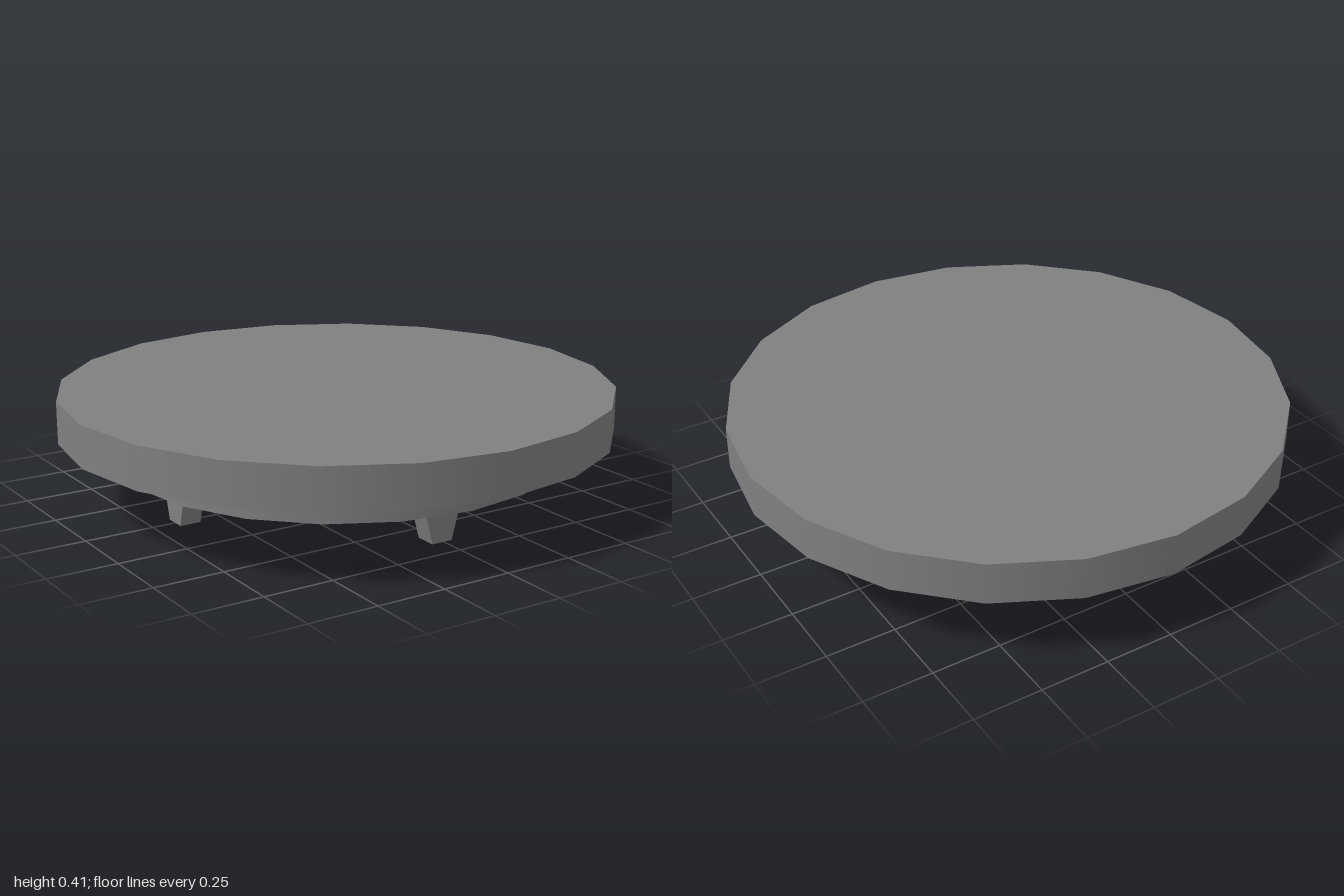
import * as THREE from 'three';

const SIDES = 20;

export function createModel() {
  const model = new THREE.Group();
  const grey = new THREE.MeshStandardMaterial({ color: 0x808080 });
  const cyan = new THREE.MeshStandardMaterial({ color: 0x00e6e6 });

  // Stacked discs, each given by radius and bottom / top height
  const addDisc = (name, radius, bottom, top, material) => {
    const disc = new THREE.Mesh(
      new THREE.CylinderGeometry(radius, radius, top - bottom, SIDES), material);
    disc.name = name;
    disc.position.y = (bottom + top) / 2;
    model.add(disc);
  };
  addDisc('topPlate', 1, 0.252, 0.405, grey);
  addDisc('lowerPlate', 0.805, 0.151, 0.252, grey);
  addDisc('glowDisc', 0.585, 0.087, 0.151, cyan);

  // Foot: a trapezoid narrowing downward, of constant radial depth
  const profile = new THREE.Shape([
    new THREE.Vector2(-0.04, 0),
    new THREE.Vector2(0.04, 0),
    new THREE.Vector2(0.08, 0.151),
    new THREE.Vector2(-0.08, 0.151),
  ]);
  const footGeometry = new THREE.ExtrudeGeometry(profile, { depth: 0.078, bevelEnabled: false });
  footGeometry.translate(0, 0, 0.58);

  // Four feet, at the front, left, back and right, set slightly off centre
  const feet = new THREE.Group();
  feet.name = 'feet';
  feet.position.x = -0.006;
  ['frontFoot', 'leftFoot', 'backFoot', 'rightFoot'].forEach((name, i) => {
    const foot = new THREE.Mesh(footGeometry, grey);
    foot.name = name;
    foot.rotation.y = i * Math.PI / 2;
    feet.add(foot);
  });
  model.add(feet);

  return model;
}
